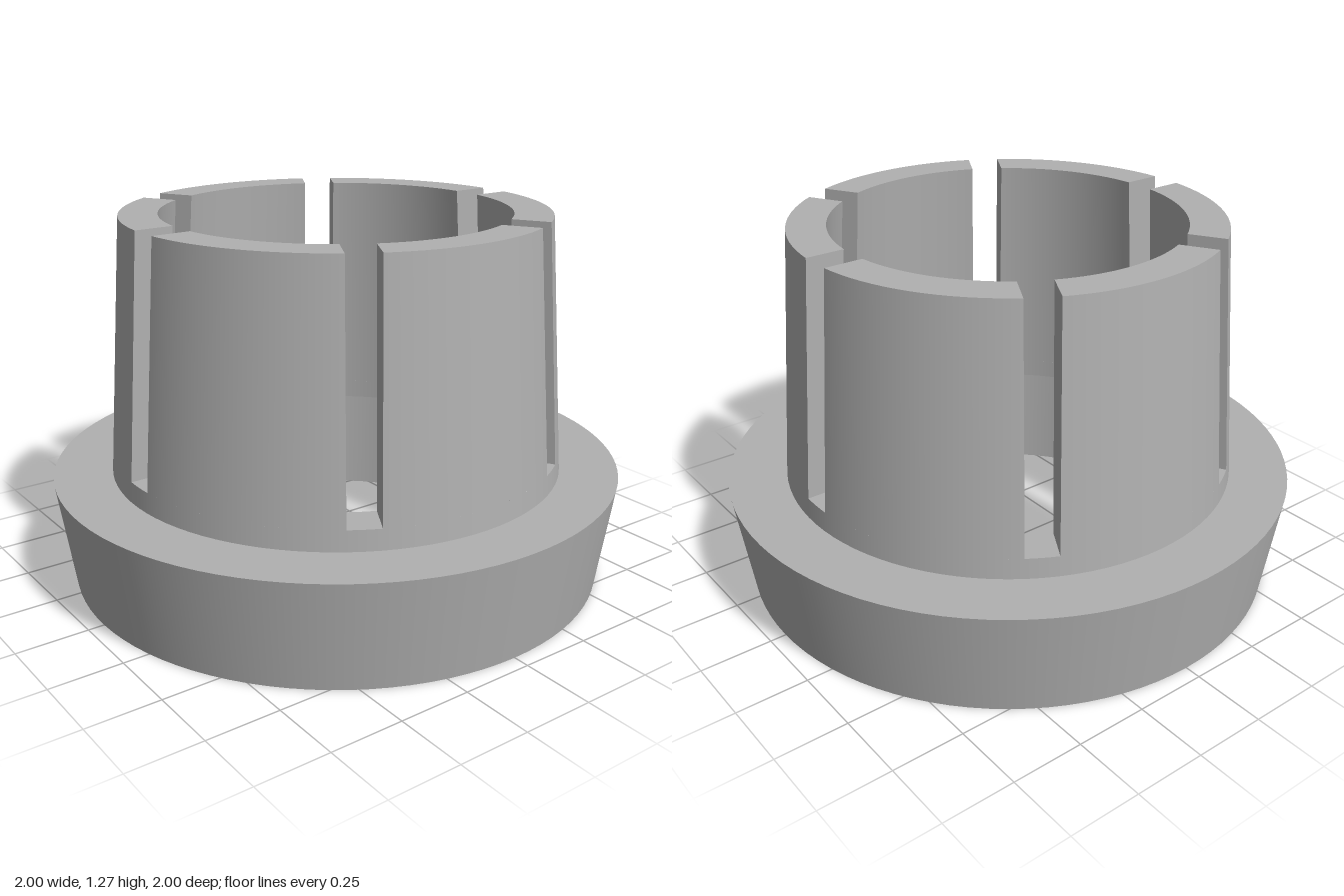
import * as THREE from 'three';
import { mergeGeometries } from 'three/addons/utils/BufferGeometryUtils.js';
import { ParametricGeometry } from 'three/addons/geometries/ParametricGeometry.js';

const TOP = 1.275, RIM = 0.38, FLOOR = 0.45; // sleeve top, collar top, slot floor
const HALF_SLOT = 0.055, SLOTS = 6, STEP = Math.PI * 2 / SLOTS;
const lerp = THREE.MathUtils.lerp;

// Tapered sleeve radii at a given height
const taper = (a, b) => y => lerp(a, b, (y - RIM) / (TOP - RIM));
const outer = taper(0.797, 0.732);
const inner = taper(0.667, 0.6);

// Full ring swept from one straight profile segment, keeping edges sharp
const ring = (r0, y0, r1, y1) =>
  new THREE.LatheGeometry([new THREE.Vector2(r0, y0), new THREE.Vector2(r1, y1)], 96);

// Point on a finger: u = 0..1 runs between the parallel walls of two slots
function fingerPoint(r, y, u, target) {
  const gap = Math.asin(HALF_SLOT / r);
  const a = lerp(gap, STEP - gap, u);
  target.set(r * Math.sin(a), y, r * Math.cos(a));
}

function fingerGeometry() {
  const height = v => lerp(FLOOR, TOP, v);
  const patch = (fn, n) => new ParametricGeometry(fn, n, 1);
  return mergeGeometries([
    // outer and inner skins
    patch((u, v, t) => fingerPoint(outer(height(v)), height(v), u, t), 16),
    patch((u, v, t) => fingerPoint(inner(height(v)), height(v), 1 - u, t), 16),
    // top face
    patch((u, v, t) => fingerPoint(lerp(outer(TOP), inner(TOP), v), TOP, u, t), 16),
    // slot walls
    patch((u, v, t) => fingerPoint(lerp(inner(height(v)), outer(height(v)), u), height(v), 0, t), 1),
    patch((u, v, t) => fingerPoint(lerp(outer(height(v)), inner(height(v)), u), height(v), 1, t), 1),
  ]);
}

// Flat bottom of a slot
function slotFloorGeometry() {
  return new ParametricGeometry((u, v, t) => {
    const r = lerp(outer(FLOOR), inner(FLOOR), v);
    const a = lerp(-1, 1, u) * Math.asin(HALF_SLOT / r);
    t.set(r * Math.sin(a), FLOOR, r * Math.cos(a));
  }, 4, 1);
}

export function createModel() {
  const model = new THREE.Group();
  model.name = 'slottedBushing';
  const grey = new THREE.MeshStandardMaterial({ color: 0xb0b0b0 });
  grey.name = 'grey';

  const add = (name, geometry, angle = 0) => {
    const mesh = new THREE.Mesh(geometry, grey);
    mesh.name = name;
    mesh.rotation.y = angle;
    model.add(mesh);
  };

  // Flared collar with a straight bore
  add('collar', mergeGeometries([
    ring(0.667, 0, 0.944, 0),
    ring(0.944, 0, 1, RIM),
    ring(1, RIM, outer(RIM), RIM),
    ring(inner(RIM), RIM, 0.667, 0),
  ]));

  // Unslotted foot of the sleeve
  add('sleeveBase', mergeGeometries([
    ring(outer(RIM), RIM, outer(FLOOR), FLOOR),
    ring(inner(FLOOR), FLOOR, inner(RIM), RIM),
  ]));

  // Six tapered fingers separated by parallel-sided slots
  const finger = fingerGeometry(), floor = slotFloorGeometry();
  for (let i = 0; i < SLOTS; i++) {
    add('finger' + (i + 1), finger, i * STEP);
    add('slotFloor' + (i + 1), floor, i * STEP);
  }
  return model;
}
